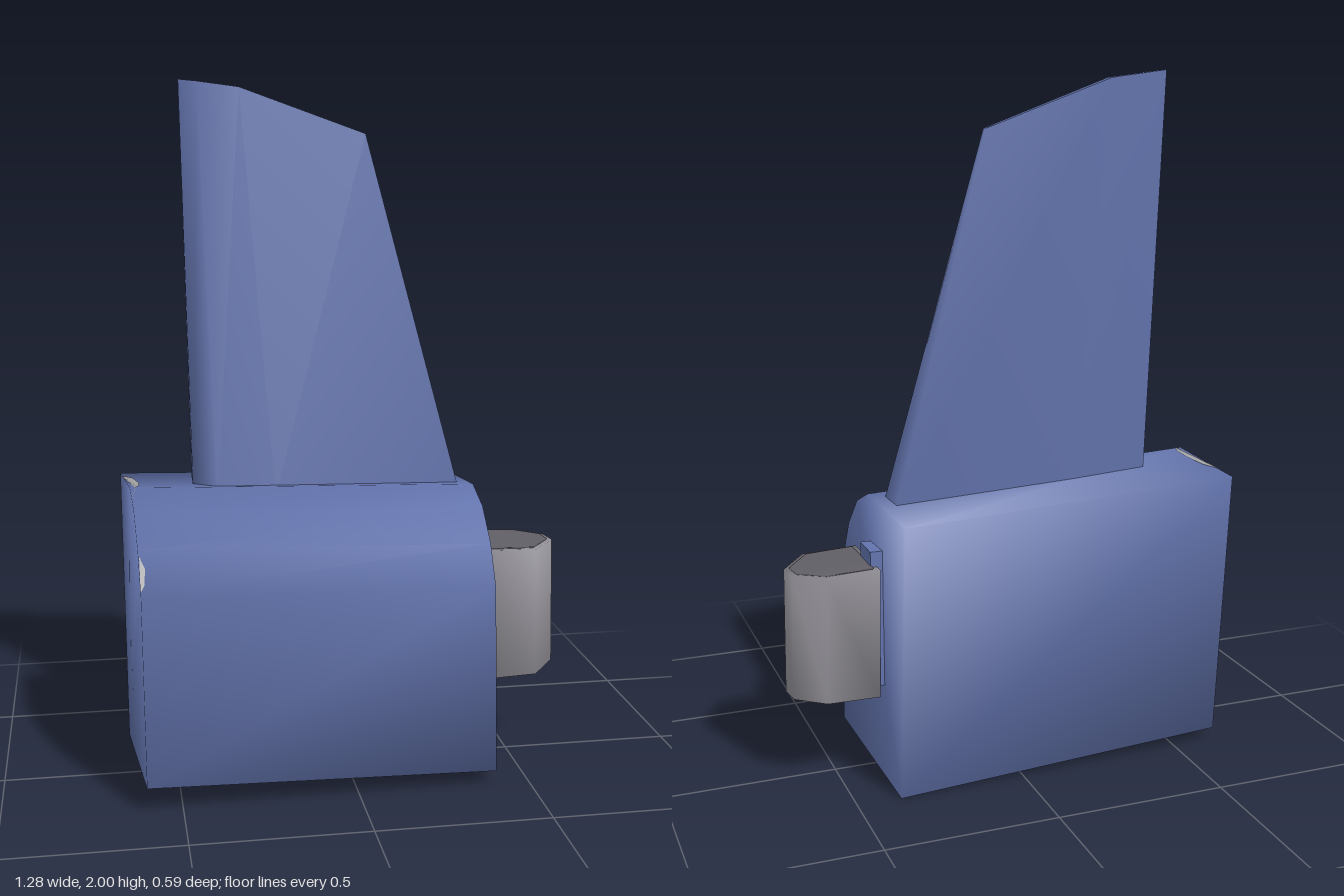
import * as THREE from 'three';

// Closed solid between two matching loops of [x, y, z] points, softly shaded
function loft(a, b) {
  const n = a.length, index = [];
  for (let i = 0; i < n; i++) {
    const j = (i + 1) % n;
    index.push(i, j, n + j, i, n + j, n + i);
  }
  for (let i = 1; i < n - 1; i++) index.push(0, i + 1, i, n, n + i, n + i + 1);
  // Turn the faces outward if the loops run the other way
  const p = [...a, ...b].map(v => new THREE.Vector3(...v));
  let volume = 0;
  for (let i = 0; i < index.length; i += 3) {
    volume += p[index[i]].dot(p[index[i + 1]].clone().cross(p[index[i + 2]]));
  }
  if (volume < 0) index.reverse();
  const g = new THREE.BufferGeometry().setFromPoints(p);
  g.setIndex(index);
  g.computeVertexNormals();
  return g;
}

// Thin convex patch
function patch(points) {
  const g = new THREE.BufferGeometry().setFromPoints(points.map(v => new THREE.Vector3(...v)));
  const index = [];
  for (let i = 1; i < points.length - 1; i++) index.push(0, i, i + 1);
  g.setIndex(index);
  g.computeVertexNormals();
  return g;
}

function material(name, color, side = THREE.FrontSide) {
  const m = new THREE.MeshStandardMaterial({ color, side });
  m.name = name;
  return m;
}

export function createModel() {
  const group = new THREE.Group();
  const blue = material('blue', 0x6374ae);
  const grey = material('grey', 0x97959c);
  const darkGrey = material('dark grey', 0x615f66);
  const lightGrey = material('light grey', 0xa5a5a6, THREE.DoubleSide);
  const add = (name, geometry, mat) => {
    const mesh = new THREE.Mesh(geometry, mat);
    mesh.name = name;
    group.add(mesh);
    return mesh;
  };

  // Body: one [z, y] profile swept along x with a slight skew
  const profile = [[-0.205, 0.04], [0.295, 0.08], [0.26, 0.62], [0.205, 0.735],
    [0.125, 0.825], [0.03, 0.87], [-0.26, 0.85]];
  add('body', loft(
    profile.map(([z, y]) => [-0.62 + 0.07 * z, y, z]),
    profile.map(([z, y]) => [0.387 + 0.06 * (z - 0.035), y - 0.035, z - 0.037])), blue);

  // Tapered fin, from its thick root to its thin slanted tip
  const root = [[-0.435, -0.04], [-0.37, 0.012], [-0.2, -0.002], [0.35, -0.045],
    [0.34, -0.125], [-0.2, -0.105], [-0.435, -0.085]].map(([x, z]) => [x, 0.82, z]);
  const tip = [[-0.45, 2, -0.13], [-0.4, 1.995, -0.118], [-0.28, 1.98, -0.128],
    [0.085, 1.85, -0.135], [0.085, 1.85, -0.152], [-0.28, 1.98, -0.155], [-0.45, 2, -0.145]];
  add('fin', loft(root, tip), blue);

  // Peg joining the canister to the body
  add('peg', new THREE.BoxGeometry(0.06, 0.4, 0.1), blue).position.set(0.385, 0.5, -0.07);

  // Canister with a slight lean
  const outline = [[0.395, -0.15], [0.55, -0.155], [0.632, -0.095], [0.64, -0.03],
    [0.56, 0.078], [0.4, 0.085]];
  const ring = (y, scale = 1) => outline.map(([x, z]) => [
    0.515 + (x - 0.515) * scale, y - 0.03 * (x - 0.515) * (y > 0.5 ? 1 : -1),
    -0.035 + (z + 0.035) * scale + (0.655 - y) * 0.06]);
  add('canister', loft(ring(0.272), ring(0.652)), grey);
  add('canisterTop', loft(ring(0.65, 0.87), ring(0.656, 0.87)), darkGrey);
  add('canisterBottom', loft(ring(0.268, 0.87), ring(0.274, 0.87)), darkGrey);

  // Worn patches along the rim of the body
  const topY = z => 0.872 - (z < 0.03 ? 0.069 * (0.03 - z) : 0.474 * (z - 0.03));
  add('topWear', patch([[-0.633, -0.19], [-0.614, 0.075], [-0.6, 0.03], [-0.59, 0],
    [-0.592, -0.06], [-0.605, -0.14]].map(([x, z]) => [x, topY(z), z])), lightGrey);
  add('frontWear', patch([[-0.602, 0.63], [-0.59, 0.65], [-0.588, 0.69], [-0.602, 0.72]]
    .map(([x, y]) => [x, y, 0.263 - (y - 0.62) * 0.478])), lightGrey);

  return group;
}
